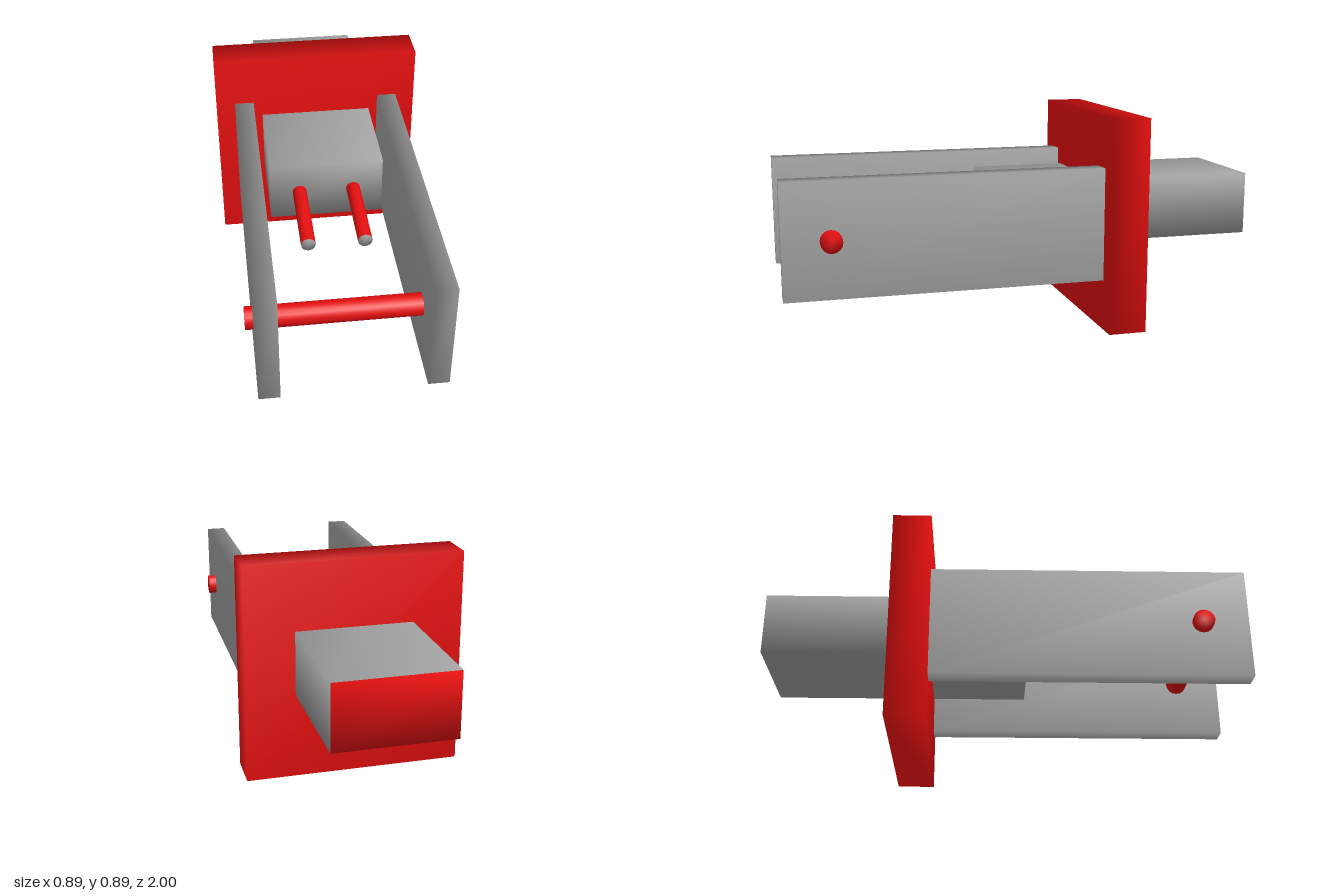
import * as THREE from 'three';
import { mergeVertices } from 'three/addons/utils/BufferGeometryUtils.js';

// Share corner vertices so that shading flows smoothly across the edges
function soften(geometry) {
  geometry.deleteAttribute('normal');
  geometry.deleteAttribute('uv');
  const merged = mergeVertices(geometry, 1e-4);
  merged.computeVertexNormals();
  return merged;
}

// Box given by its lowest and highest corners
function box(name, min, max, material) {
  const size = max.map((v, i) => v - min[i]);
  const mesh = new THREE.Mesh(soften(new THREE.BoxGeometry(...size)), material);
  mesh.position.set(...max.map((v, i) => (v + min[i]) / 2));
  mesh.name = name;
  return mesh;
}

function cylinder(name, radius, length, sides, material) {
  const mesh = new THREE.Mesh(soften(new THREE.CylinderGeometry(radius, radius, length, sides)), material);
  mesh.name = name;
  return mesh;
}

export function createModel() {
  const group = new THREE.Group();
  const red = new THREE.MeshStandardMaterial({ color: 0xe60f0f });
  red.name = 'red';
  const grey = new THREE.MeshStandardMaterial({ color: 0xa0a0a0 });
  grey.name = 'grey';

  // Long block through the plate, with a red rear face
  group.add(box('body', [-0.24, 0.352, -1], [0.24, 0.617, 0.103], [grey, grey, grey, grey, grey, red]));

  // Square flange plate
  group.add(box('plate', [-0.443, 0, -0.465], [0.443, 0.893, -0.305], red));

  // Crossbar through both arms
  const bar = cylinder('crossbar', 0.044, 0.784, 16, red);
  bar.rotation.z = Math.PI / 2;
  bar.position.set(0, 0.447, 0.81);
  group.add(bar);

  for (const side of [-1, 1]) {
    const label = side > 0 ? 'left' : 'right';

    // Side arm
    const x = [side * 0.278, side * 0.361].sort((a, b) => a - b);
    group.add(box(label + 'Arm', [x[0], 0.212, -0.31], [x[1], 0.684, 1], grey));

    // Contact pin with a grey front tip
    const pin = cylinder(label + 'Pin', 0.03, 0.38, 12, [red, grey, red]);
    pin.rotation.x = Math.PI / 2;
    pin.position.set(side * 0.115, 0.481, 0.268);
    group.add(pin);
  }
  return group;
}
